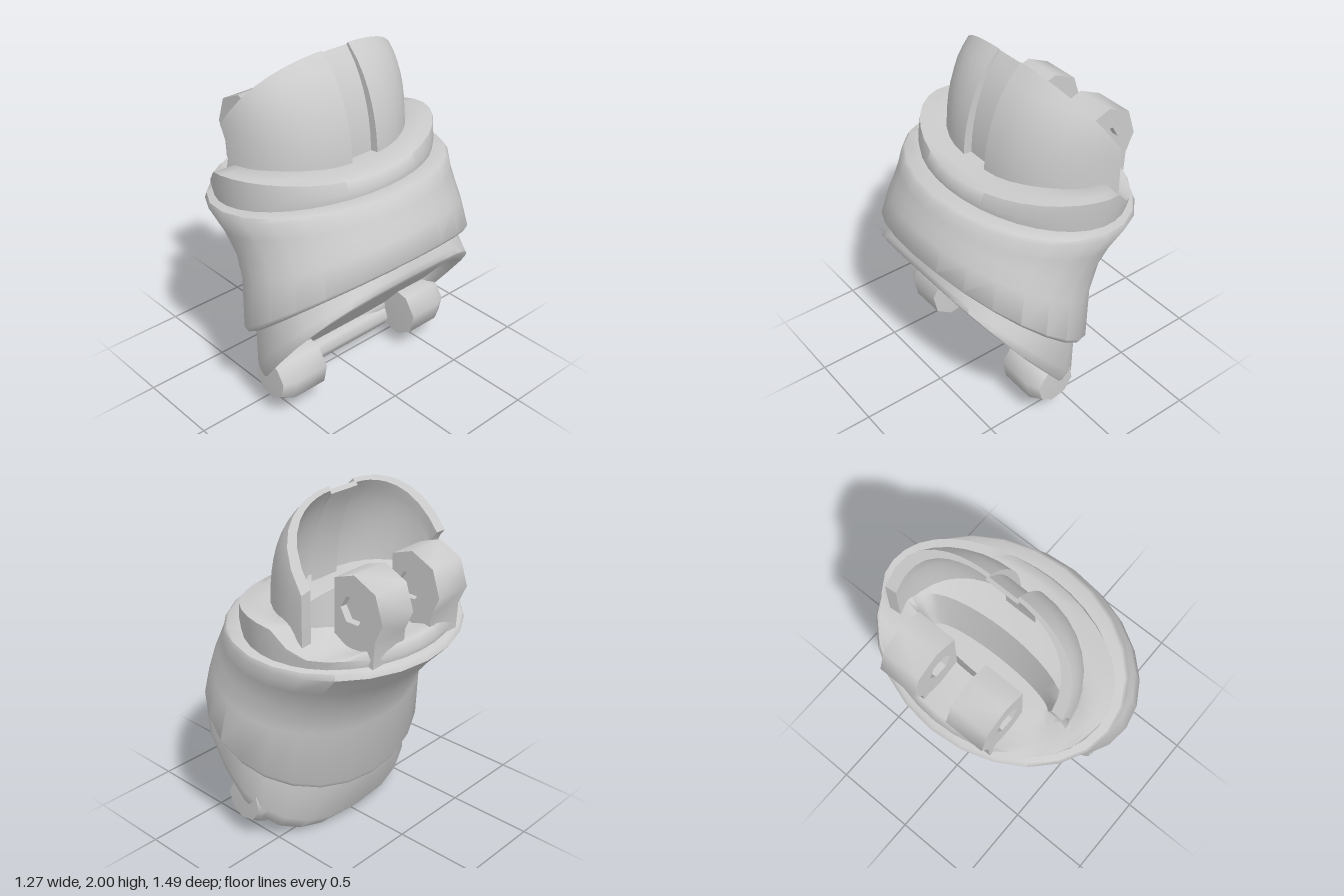
import * as THREE from 'three';
import { toCreasedNormals } from 'three/addons/utils/BufferGeometryUtils.js';

const grey = new THREE.MeshStandardMaterial({ color: 0xcccccc });
const greyThin = new THREE.MeshStandardMaterial({ color: 0xcccccc, side: THREE.DoubleSide });

// Surface through rows of points
function grid(rows, crease = 0.6) {
  const n = rows[0].length, index = [];
  for (let j = 0; j < rows.length - 1; j++)
    for (let i = 0; i < n - 1; i++) {
      const a = j * n + i, b = a + n;
      index.push(a, b, a + 1, b, b + 1, a + 1);
    }
  const geo = new THREE.BufferGeometry().setFromPoints(rows.flat());
  geo.setIndex(index);
  return toCreasedNormals(geo, crease);
}

// Tilted oval from a left point to a right point; bump lifts its front and back
function ring([x0, y0, x1, y1, hz, bump = 0, power = 1], sides = 24) {
  const pts = [];
  const soft = v => Math.sign(v) * Math.abs(v) ** power;
  for (let i = 0; i <= sides; i++) {
    const a = (i % sides) / sides * Math.PI * 2, c = soft(Math.cos(a)), s = soft(Math.sin(a));
    pts.push(new THREE.Vector3(
      (x0 + x1) / 2 + (x1 - x0) / 2 * c,
      (y0 + y1) / 2 + (y1 - y0) / 2 * c + bump * s * s,
      hz * s));
  }
  return pts;
}
const loft = list => grid(list.map(r => ring(r)), 1);

// Round clearance about the hinge axis: half chord at an offset from its centre
const HINGE = { x: -0.42, y: 1.5, r: 0.21 };
const chord = d => Math.sqrt(Math.max(0, HINGE.r ** 2 - d * d));

// Point on the domed guard: angle u round the upright axis, height y
function domePoint(u, y, ax, bz, notched) {
  const t = Math.max(0, y - 1.4) / 0.69;
  const x = -0.25 + ax * Math.cos(u) * Math.sqrt(Math.max(0, 1 - t * t));
  return new THREE.Vector3(
    notched ? Math.max(x, HINGE.x + chord(y - HINGE.y)) : x, y,
    0.09 + bz * Math.sin(u) * Math.sqrt(Math.max(0, 1 - t ** 4)));
}

// Profile from the base up to the slanted cut
function domeProfile(u, ax, bz, notched = false, steps = 10) {
  let lo = 1.25, hi = 2.09;
  for (let k = 0; k < 30; k++) {
    const y = (lo + hi) / 2;
    if (2 + (domePoint(u, y, ax, bz, notched).x + 0.02) / 0.71 > y) lo = y; else hi = y;
  }
  return Array.from({ length: steps + 1 }, (_, k) =>
    domePoint(u, 1.25 + (lo - 1.25) * k / steps, ax, bz, notched));
}

export function createModel() {
  const group = new THREE.Group();
  const add = (name, geo, mat = grey) => {
    const mesh = new THREE.Mesh(geo, mat);
    mesh.name = name;
    group.add(mesh);
    return mesh;
  };

  // Lower socket: flat recessed face inside a squarish rim
  const face = [0.02, 0.23, 0.50, 0.81, 0.58, 0, 0.8];
  add('socketFace', loft([[0.26, 0.52, 0.26, 0.52, 0], face]));
  add('lowerSocket', loft([
    face,
    [0.03, 0.20, 0.53, 0.80, 0.60, 0, 0.8],
    [-0.07, 0.01, 0.585, 0.865, 0.655, 0, 0.7],
    [-0.10, 0.0, 0.595, 0.885, 0.665, 0, 0.74],
    [-0.16, 0.06, 0.59, 0.92, 0.685, 0, 0.85],
    [-0.20, 0.33, 0.57, 0.97, 0.69],
  ]));

  // Main sleeve, waisted in the middle
  add('sleeve', loft([
    [-0.19, 0.33, 0.56, 0.96, 0.67],
    [-0.26, 0.32, 0.61, 0.995, 0.725],
    [-0.28, 0.35, 0.635, 1.03, 0.745],
    [-0.31, 0.70, 0.59, 1.15, 0.715],
    [-0.38, 0.88, 0.56, 1.21, 0.705],
    [-0.50, 1.03, 0.53, 1.27, 0.715],
    [-0.635, 1.175, 0.505, 1.325, 0.745],
    [-0.62, 1.21, 0.48, 1.345, 0.735],
    [-0.58, 1.22, 0.38, 1.34, 0.68],
  ]));

  // Upper collar dipping into a central well, hollowed under the hinge
  const collar = [
    [-0.58, 1.20, 0.385, 1.33, 0.68],
    [-0.60, 1.25, 0.39, 1.37, 0.695, 0.05],
    [-0.57, 1.30, 0.36, 1.425, 0.705, 0.10],
    [-0.52, 1.31, 0.30, 1.435, 0.66, 0.09],
    [-0.44, 1.32, 0.22, 1.445, 0.57, 0.08],
    [-0.30, 1.36, -0.02, 1.42, 0.48],
    [-0.26, 1.20, -0.05, 1.22, 0.43],
    [-0.22, 1.10, -0.07, 1.10, 0.40],
    [-0.14, 1.10, -0.14, 1.10, 0],
  ].map(r => ring(r, 36));
  for (const p of collar.flat())
    if (Math.abs(p.x - HINGE.x) < HINGE.r) p.y = Math.min(p.y, HINGE.y - chord(p.x - HINGE.x));
  add('collar', grid(collar, 1));

  // Two halves of the domed guard; the front one is notched round the hinge
  const last = THREE.MathUtils.degToRad(95), steps = 9;
  for (const side of [1, -1]) {
    const inner = u => domeProfile(u, 0.40, 0.42, side > 0);
    const outer = u => domeProfile(u, 0.47, 0.49, side > 0);
    const rows = [];
    for (let i = 0; i <= steps; i++) {
      const u = last * i / steps;
      rows.push([...inner(u), ...outer(u).reverse()]);
    }
    add('domeGuard', grid(rows), greyThin).scale.z = side;
    for (const u of [0, last])
      add('domeGuardEnd', grid([inner(u), outer(u)]), greyThin).scale.z = side;
  }

  // Sunken strip between the two halves
  const strip = [...domeProfile(0, 0.36, 0.4), ...domeProfile(0, 0.42, 0.4).reverse()];
  add('guardGroove', grid([-0.1, 0.1].map(z =>
    strip.map(p => new THREE.Vector3(p.x, p.y, z)))), greyThin);

  // Hinge lugs, cut flat towards the well, with a six-sided socket closed by a five-sided pin
  const outline = [[-0.55, 1.2], [-0.29, 1.2], [-0.29, 1.65],
    [-0.42, 1.695], [-0.56, 1.63], [-0.61, 1.48], [-0.56, 1.37]];
  const lugShape = new THREE.Shape(outline.map(p => new THREE.Vector2(...p)));
  const hole = new THREE.Path();
  for (let i = 0; i < 6; i++) {
    const a = -i / 6 * Math.PI * 2;
    hole[i ? 'lineTo' : 'moveTo'](-0.41 + 0.08 * Math.cos(a), 1.5 + 0.08 * Math.sin(a));
  }
  hole.closePath();
  lugShape.holes.push(hole);
  const lug = toCreasedNormals(
    new THREE.ExtrudeGeometry(lugShape, { depth: 0.235, bevelEnabled: false }).translate(0, 0, 0.105), 0.95);
  const pin = new THREE.CylinderGeometry(0.1, 0.1, 0.15, 5).rotateX(Math.PI / 2).translate(-0.41, 1.5, 0.22);

  // Lower knobs, narrowing slightly at their outer ends
  const knob = toCreasedNormals(new THREE.LatheGeometry(
    [[0, 0.635], [0.12, 0.63], [0.158, 0.56], [0.158, 0.345], [0, 0.34]]
      .map(p => new THREE.Vector2(...p)), 8)
    .scale(1, -1, 1).rotateX(-Math.PI / 2).rotateZ(0.2).translate(0.14, 0.25, 0), 0.95);

  for (const side of [1, -1]) {
    add('hingeLug', lug).scale.z = side;
    add('hingePin', pin).scale.z = side;
    add('lowerKnob', knob, greyThin).scale.z = side;
  }

  // Ledge along the rim between the lower knobs
  add('lowerLedge', new THREE.CylinderGeometry(0.075, 0.075, 0.74, 8).rotateX(Math.PI / 2).translate(0.005, 0.165, 0));

  return group;
}
